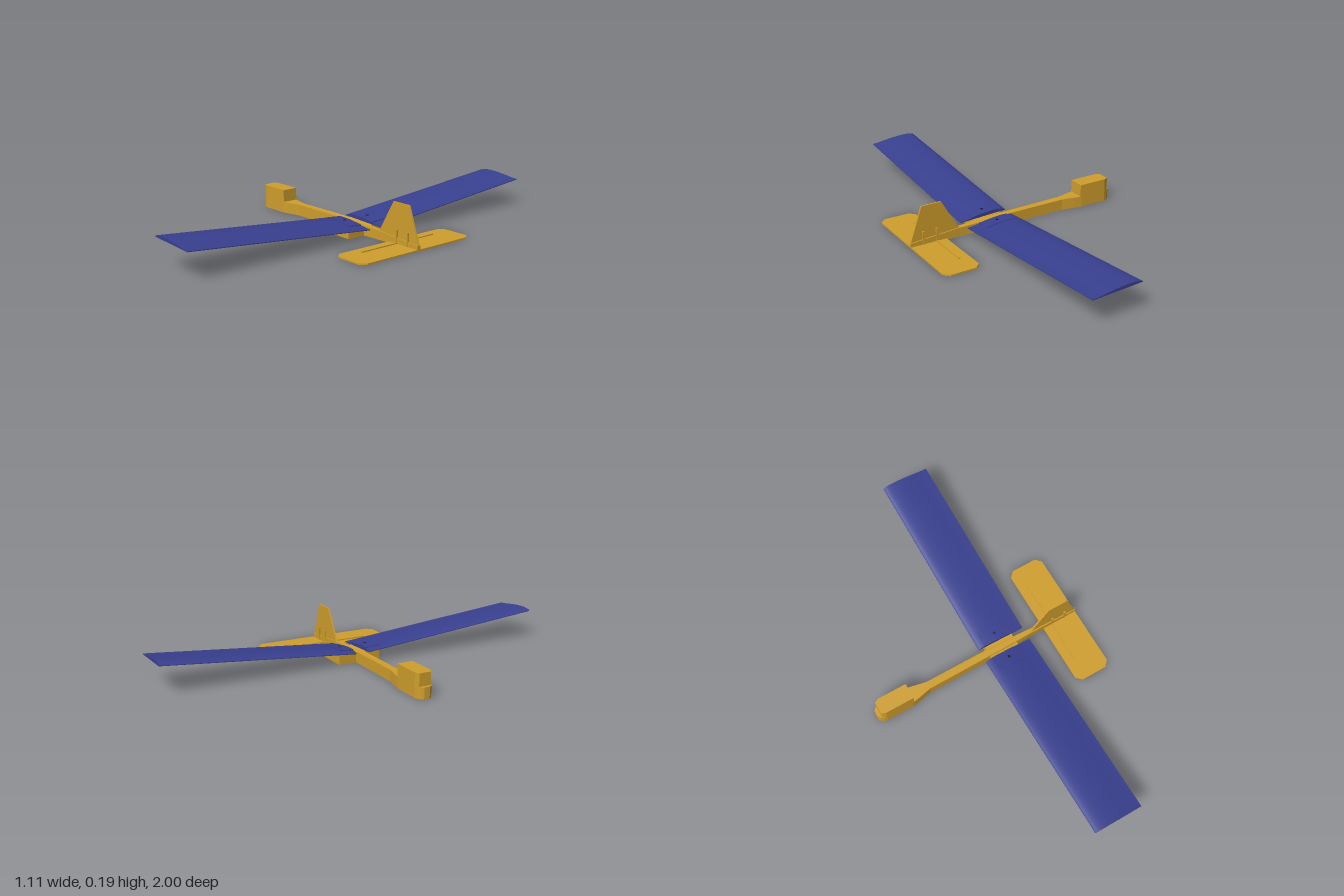
import * as THREE from 'three';
import { toCreasedNormals } from 'three/addons/utils/BufferGeometryUtils.js';

const wood = new THREE.MeshStandardMaterial({ color: 0xd09f2d });
wood.name = 'ochre';
const blue = new THREE.MeshStandardMaterial({ color: 0x394090 });
blue.name = 'navy blue';
const dark = new THREE.MeshStandardMaterial({ color: 0x1c1c30 });
dark.name = 'dark hole';

const SLOPE = 0.09, ROOT = 0.034, LE = 0.027, TE = 0.272;
const HOLE_X = 0.135, HOLE_Z = 0.07;
const rise = z => SLOPE * (Math.abs(z) - ROOT);           // dihedral
const under = x => 0.052 - 0.042 * (x - LE);              // flat wing underside
const over = x => {                                       // curved wing top
  const u = (x - LE) / (TE - LE);
  return under(x) + 0.155 * (0.2969 * Math.sqrt(u) - 0.126 * u - 0.3516 * u * u + 0.2843 * u ** 3 - 0.1015 * u ** 4);
};
const shapeOf = pts => new THREE.Shape(pts.map(p => new THREE.Vector2(...p)));

function mesh(name, geo, mat) {
  const m = new THREE.Mesh(geo, mat);
  m.name = name;
  return m;
}

// Moves every vertex height by a rule
function setHeights(geo, rule) {
  const p = geo.attributes.position;
  for (let i = 0; i < p.count; i++) p.setY(i, rule(p.getX(i), p.getY(i), p.getZ(i)));
  geo.computeVertexNormals();
  return geo;
}

// Plan outline (x, z) raised between two heights
function plan(shape, y0, y1) {
  return new THREE.ExtrudeGeometry(shape, { depth: y1 - y0, bevelEnabled: false, curveSegments: 10 })
    .rotateX(-Math.PI / 2).translate(0, y0, 0);
}

// Outline symmetric about z = 0, from its positive half
const mirrored = half => shapeOf([...half, ...half.slice().reverse().map(([x, z]) => [x, -z])]);

// Side profile (x, y) extruded along z with dihedral
function spanwise(pts, z0, z1, side) {
  const g = new THREE.ExtrudeGeometry(shapeOf(pts), { depth: z1 - z0, bevelEnabled: false });
  g.translate(0, 0, side > 0 ? z0 : -z1);
  return toCreasedNormals(setHeights(g, (x, y, z) => y + rise(z)), 0.5);
}

export function createModel() {
  const model = new THREE.Group();
  model.name = 'glider';

  // Fuselage: wide rounded nose tapering to a thin tail boom
  const body = plan(mirrored([[-0.553, 0.014], [-0.545, 0.026], [-0.532, 0.035], [-0.515, 0.04], [-0.375, 0.04],
    [-0.34, 0.034], [-0.27, 0.019], [0.03, 0.019], [0.16, 0.018], [0.3, 0.011], [0.552, 0.009]]), 0, 1);
  const deck = x => x < 0.03 ? 0.055 : x < 0.3 ? 0.055 - (x - 0.03) * 0.042 : 0.0437 - (x - 0.3) * 0.07;
  model.add(mesh('fuselage', setHeights(body, (x, y) => y > 0.5 ? deck(x) : 0), wood));

  // Raised block on the nose
  model.add(mesh('noseBlock',
    plan(mirrored([[-0.536, 0.03], [-0.515, 0.04], [-0.368, 0.04]]), 0.05, 0.116), wood));

  // Wings and their mount
  const top = [], N = 14;
  for (let i = N; i >= 0; i--) {
    const x = LE + (TE - LE) * (i / N) ** 2;
    top.push([x, over(x)]);
  }
  const airfoil = [...top.slice(0, -1), [LE, under(LE) + 0.003], [LE, under(LE)], [TE, under(TE)]];
  airfoil[0][1] += 0.003;
  const padTop = [0.21, 0.17, 0.13, 0.09, 0.06].map(x => [x, over(x) + 0.003]);
  const pad = [...padTop, [0.06, under(0.06) + 0.005], [0.21, under(0.21) + 0.005]];

  for (const s of [1, -1]) {
    const side = s > 0 ? 'left' : 'right';
    model.add(mesh(side + 'Wing', spanwise(airfoil, ROOT, 1, s), blue));
    model.add(mesh(side + 'WingPad', spanwise(pad, ROOT, 0.11, s), blue));

    // Mount half with a bolt hole through it, top following the wing
    const z = s * 0.11;
    const half = shapeOf([[0.06, 0], [0.21, 0], [0.21, -z], [0.06, -z]]);
    const hole = new THREE.Path();
    hole.absarc(HOLE_X, -s * HOLE_Z, 0.014, 0, Math.PI * 2, true);
    half.holes.push(hole);
    const g = setHeights(plan(half, 0, 1), (x, y, zz) => y > 0.5 ? under(x) + rise(zz) : 0);
    model.add(mesh(side + 'WingMount', g, wood));

    const bolt = mesh(side + 'BoltHole', new THREE.CylinderGeometry(0.007, 0.007, 0.003, 12), dark);
    bolt.position.set(HOLE_X, over(HOLE_X) + 0.003 + rise(HOLE_Z), s * HOLE_Z);
    bolt.rotation.x = -s * Math.atan(SLOPE);
    model.add(bolt);
  }

  // Tailplane with clipped corners and a spanwise rib
  const tail = mirrored([[0.37, 0.305], [0.397, 0.332], [0.525, 0.332], [0.552, 0.305]]);
  model.add(mesh('tailplane', plan(tail, 0, 0.007), wood));
  const rib = new THREE.BoxGeometry(0.008, 0.012, 0.44);
  rib.translate(0.42, 0.006, 0);
  model.add(mesh('tailplaneRib', rib, wood));

  // Fin and its small braces
  const fin = new THREE.ExtrudeGeometry(
    shapeOf([[0.3, 0.04], [0.3, 0.02], [0.55, 0.02], [0.55, 0.027], [0.49, 0.195], [0.39, 0.195]]),
    { depth: 0.008, bevelEnabled: false });
  fin.translate(0, 0, -0.004);
  model.add(mesh('fin', fin, wood));
  for (const x of [0.418, 0.487]) {
    const brace = mesh('finBrace', new THREE.BoxGeometry(0.009, 0.072, 0.024), wood);
    brace.position.set(x, 0.036, 0);
    model.add(brace);
  }
  return model;
}
